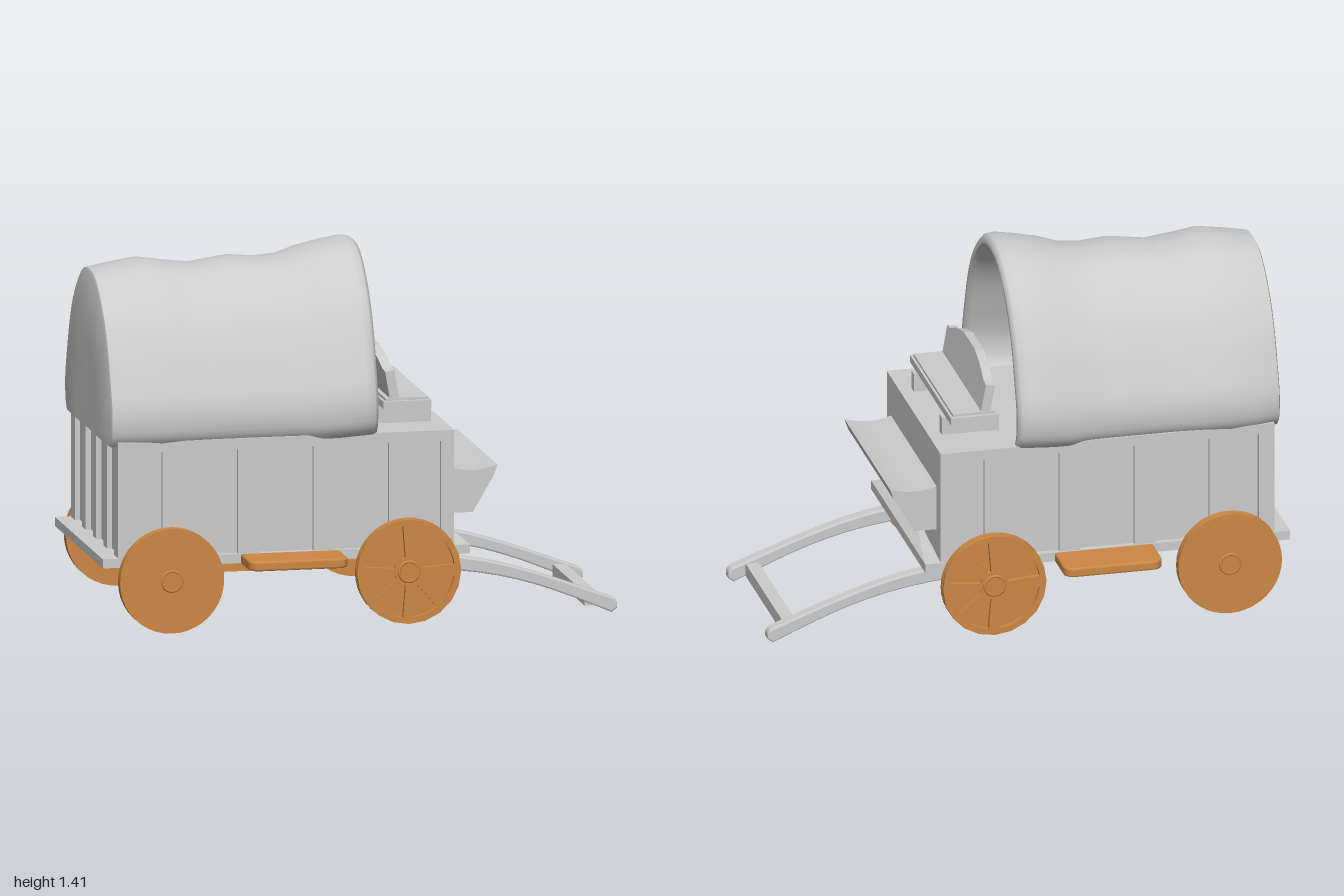
import * as THREE from 'three';
import { ConvexGeometry } from 'three/addons/geometries/ConvexGeometry.js';
import { toCreasedNormals } from 'three/addons/utils/BufferGeometryUtils.js';

const grey = new THREE.MeshStandardMaterial({ color: 0xcccccc });
const cloth = new THREE.MeshStandardMaterial({ color: 0xcccccc, side: THREE.DoubleSide });
const wood = new THREE.MeshStandardMaterial({ color: 0xcc8844 });

function add(parent, name, geometry, material = grey) {
  const mesh = new THREE.Mesh(geometry, material);
  mesh.name = name;
  parent.add(mesh);
  return mesh;
}

// Box given by its lower and upper limits on each axis
function box(parent, name, [x0, x1], [y0, y1], [z0, z1], material) {
  const mesh = add(parent, name, new THREE.BoxGeometry(x1 - x0, y1 - y0, z1 - z0), material);
  mesh.position.set((x0 + x1) / 2, (y0 + y1) / 2, (z0 + z1) / 2);
  return mesh;
}

const vectors = (points) => points.map(([x, y]) => new THREE.Vector2(x, y));

// Outline in x and y, extruded along z and centred on z = 0
function prism(shape, depth, bevel = 0) {
  const geometry = new THREE.ExtrudeGeometry(shape, {
    depth: depth - 2 * bevel, bevelEnabled: bevel > 0, bevelThickness: bevel,
    bevelSize: bevel, bevelOffset: -bevel, bevelSegments: 2, curveSegments: 10,
  });
  return geometry.translate(0, 0, bevel - depth / 2);
}

// Cloth cover: arched sections lofted along the outside, round the rim and back inside
function coverGeometry() {
  const half = new THREE.SplineCurve(vectors([
    [0, 1], [0.22, 0.98], [0.43, 0.9], [0.65, 0.755], [0.8, 0.59],
    [0.905, 0.41], [0.98, 0.26], [1, 0.16], [0.98, 0.06], [0.92, 0],
  ])).getPoints(27);
  const arch = [
    ...half.slice(1).reverse().map((p) => new THREE.Vector2(-p.x, p.y)),
    ...half,
  ];
  // x, half width, top
  const outside = [
    [-0.96, 0.42, 1.33], [-0.88, 0.44, 1.345], [-0.77, 0.45, 1.362], [-0.67, 0.443, 1.347],
    [-0.57, 0.435, 1.335], [-0.42, 0.435, 1.357], [-0.32, 0.435, 1.348], [-0.23, 0.438, 1.355],
    [-0.15, 0.458, 1.382], [-0.06, 0.464, 1.402], [0.01, 0.466, 1.414],
  ];
  const inside = outside.slice(0, -1).reverse()
    .map(([x, w, top]) => [Math.max(x, -0.94), w - 0.07, top - 0.055]);
  const stations = [
    [-0.965, 0, 0.75], [-0.967, 0.2, 1.05], [-0.966, 0.405, 1.318],
    ...outside,
    [0.04, 0.462, 1.411], [0.055, 0.445, 1.398], [0.055, 0.42, 1.375], [0.035, 0.402, 1.36],
    ...inside, [-0.94, 0, 0.75],
  ];
  const positions = [];
  const index = [];
  const n = arch.length;
  stations.forEach(([x, w, top], i) => {
    const bottom = 0.72 + 0.015 * THREE.MathUtils.smoothstep(x, -0.2, 0.05);
    arch.forEach((p, j) => {
      positions.push(x, bottom + (top - bottom) * p.y, w * p.x);
      if (i < stations.length - 1 && j < n - 1) {
        const a = i * n + j;
        index.push(a, a + 1, a + n, a + 1, a + n + 1, a + n);
      }
    });
  });
  const geometry = new THREE.BufferGeometry();
  geometry.setAttribute('position', new THREE.Float32BufferAttribute(positions, 3));
  geometry.setIndex(index);
  return toCreasedNormals(geometry, 0.9);
}

// Wheel facing +z; the spoked kind has wedge recesses over a backing disc
function buildWheel(spoked) {
  const wheel = new THREE.Group();
  const disc = (r, depth, z, name) => add(wheel, name,
    new THREE.CylinderGeometry(r, r, depth, 40).rotateX(Math.PI / 2).translate(0, 0, z), wood);
  if (spoked) {
    disc(0.2, 0.02, -0.01, 'wheelBacking');
    const face = new THREE.Shape().absarc(0, 0, 0.2, 0, Math.PI * 2);
    for (let k = 0; k < 8; k++) {
      const mid = (k + 0.5) * Math.PI / 4;
      const outer = Math.PI / 8 - 0.13;
      const inner = Math.PI / 8 - 0.24;
      const hole = new THREE.Path();
      hole.absarc(0, 0, 0.175, mid - outer, mid + outer, false);
      hole.absarc(0, 0, 0.055, mid + inner, mid - inner, true);
      hole.closePath();
      face.holes.push(hole);
    }
    add(wheel, 'wheelSpokes', prism(face, 0.02).translate(0, 0, 0.01), wood);
  } else {
    disc(0.2, 0.04, 0, 'wheelDisc');
  }
  disc(0.034, 0.05, 0.002, 'wheelHub');
  add(wheel, 'hubRing', new THREE.TorusGeometry(0.038, 0.006, 8, 28).translate(0, 0, 0.02), wood);
  return wheel;
}

export function createModel() {
  const wagon = new THREE.Group();
  wagon.name = 'coveredWagon';

  // Body: recessed core, posts and top rail
  const body = new THREE.Group();
  body.name = 'body';
  wagon.add(body);
  box(body, 'floor', [-1, 0.41], [0.265, 0.3], [-0.43, 0.43]);
  box(body, 'bodyCore', [-0.92, 0.35], [0.3, 0.735], [-0.405, 0.405]);
  box(body, 'topRail', [-0.94, 0.35], [0.7, 0.74], [-0.425, 0.425]);
  const posts = [[-0.94, -0.88], [-0.77, -0.69], [-0.48, -0.4], [-0.19, -0.11], [0.1, 0.18], [0.3, 0.35]];
  for (const span of posts) {
    box(body, 'sidePost', span, [0.3, 0.7], [0.404, 0.425]);
    box(body, 'sidePost', span, [0.3, 0.7], [-0.425, -0.404]);
  }
  for (let k = -2; k <= 2; k++) {
    box(body, 'backPost', [-0.94, -0.919], [0.3, 0.7], [k * 0.19 - 0.03, k * 0.19 + 0.03]);
  }

  add(wagon, 'cover', coverGeometry(), cloth);

  // Sloped sill and footboard on the front wall
  add(wagon, 'frontSill', new ConvexGeometry([
    [0.35, 0.3, 0.425], [0.35, 0.3, -0.425], [0.41, 0.3, 0.425], [0.41, 0.3, -0.425], [0.35, 0.345, 0],
  ].map((p) => new THREE.Vector3(...p))));
  const board = new THREE.Shape();
  board.moveTo(0.34, 0.41);
  board.lineTo(0.435, 0.41);
  board.lineTo(0.515, 0.545);
  board.lineTo(0.53, 0.588);
  board.quadraticCurveTo(0.43, 0.555, 0.35, 0.585);
  board.lineTo(0.34, 0.585);
  add(wagon, 'footboard', prism(board, 0.72));

  // Driver's seat
  const seat = new THREE.Group();
  seat.name = 'seat';
  wagon.add(seat);
  for (const z of [-0.22, 0.22]) {
    box(seat, 'seatSupport', [0.08, 0.3], [0.74, 0.81], [z - 0.02, z + 0.02]);
  }
  box(seat, 'seatPlank', [0.1, 0.285], [0.81, 0.838], [-0.325, 0.325]);
  box(seat, 'seatPad', [0.11, 0.275], [0.838, 0.848], [-0.31, 0.31]);
  const back = new THREE.Shape(vectors([
    [-0.305, 0], [0.305, 0], [0.305, 0.11], [0.265, 0.115], [0.19, 0.145], [0.09, 0.17],
    [-0.09, 0.17], [-0.19, 0.145], [-0.265, 0.115], [-0.305, 0.11],
  ]));
  const backrest = add(seat, 'backrest', prism(back, 0.036).rotateY(Math.PI / 2));
  backrest.position.set(0.147, 0.842, 0);
  backrest.rotation.z = 0.17;

  // Curved draught shafts joined by a crossbar
  const shaft = new THREE.Shape();
  shaft.moveTo(0.17, 0.25);
  shaft.bezierCurveTo(0.45, 0.25, 0.6, 0.2, 0.98, 0.055);
  shaft.quadraticCurveTo(1, 0.045, 0.995, 0.015);
  shaft.lineTo(0.975, 0);
  shaft.bezierCurveTo(0.7, 0.12, 0.55, 0.185, 0.17, 0.2);
  for (const z of [-0.31, 0.31]) add(wagon, 'shaft', prism(shaft, 0.05, 0.006)).position.z = z;
  box(wagon, 'shaftCrossbar', [0.88, 0.93], [0.02, 0.07], [-0.29, 0.29]);

  // Running gear: axles, wheels, beams
  const gear = new THREE.Group();
  gear.name = 'runningGear';
  wagon.add(gear);
  for (const [x, spoked] of [[-0.75, false], [0.16, true]]) {
    const axle = add(gear, 'axle', new THREE.CylinderGeometry(0.04, 0.04, 0.95, 24).rotateX(Math.PI / 2), wood);
    axle.position.set(x, 0.22, 0);
    for (const side of [-1, 1]) {
      const wheel = buildWheel(spoked);
      wheel.name = spoked ? 'frontWheel' : 'rearWheel';
      wheel.position.set(x, 0.22, side * 0.485);
      if (side < 0) wheel.rotation.y = Math.PI;
      gear.add(wheel);
    }
  }
  for (const z of [-0.25, 0.25]) {
    box(gear, 'beam', [-0.75, 0.16], [0.205, 0.232], [z - 0.035, z + 0.035], wood);
  }

  // Step plank with rounded corners, running across under the floor
  const r = 0.04;
  const plank = new THREE.Shape();
  plank.absarc(0.19 - r, 0.6 - r, r, 0, Math.PI / 2);
  plank.absarc(-0.19 + r, 0.6 - r, r, Math.PI / 2, Math.PI);
  plank.absarc(-0.19 + r, -0.6 + r, r, Math.PI, Math.PI * 1.5);
  plank.absarc(0.19 - r, -0.6 + r, r, Math.PI * 1.5, Math.PI * 2);
  const step = add(gear, 'stepPlank', prism(plank, 0.037, 0.007).rotateX(Math.PI / 2), wood);
  step.position.set(-0.28, 0.2805, 0);

  return wagon;
}
